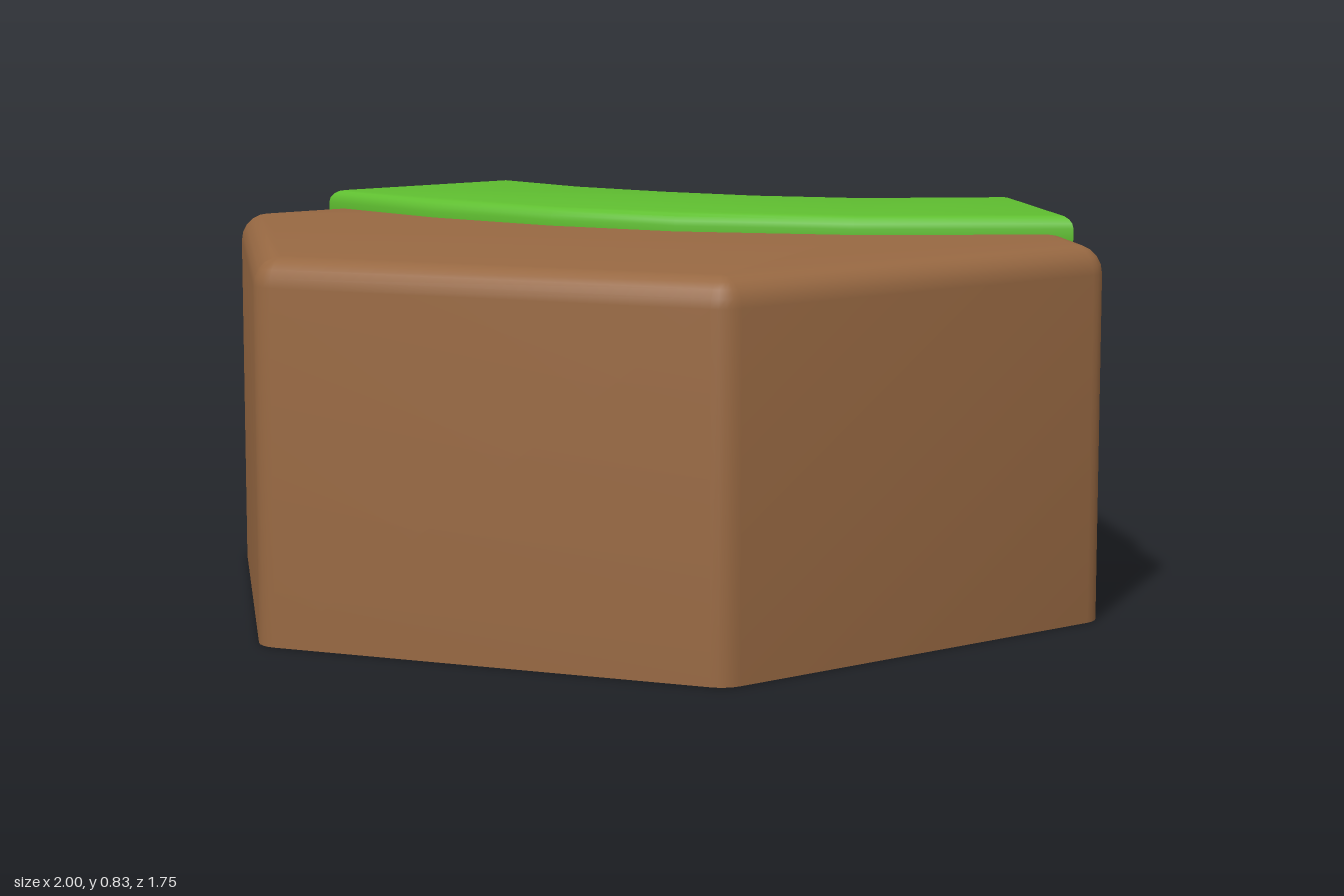
import * as THREE from 'three';
import { toCreasedNormals, mergeVertices } from 'three/addons/utils/BufferGeometryUtils.js';

const earth = new THREE.MeshStandardMaterial({ color: 0x976842 });
earth.name = 'earth brown';
const grass = new THREE.MeshStandardMaterial({ color: 0x5fbe30 });
grass.name = 'grass green';

// Hexagon ring with rounded corners: core hexagon grown outward by `offset`.
function hexRing(coreRadius, offset, y, steps) {
  const ring = [];
  for (let c = 0; c < 6; c++) {
    const a = c * Math.PI / 3;
    for (let s = 0; s <= steps; s++) {
      const t = a + (s / steps - 0.5) * Math.PI / 3;
      ring.push([
        coreRadius * Math.cos(a) + offset * Math.cos(t), y,
        coreRadius * Math.sin(a) + offset * Math.sin(t),
      ]);
    }
  }
  return ring;
}

// Skin stacked rings (bottom to top) and close both ends.
function loft(rings) {
  const n = rings[0].length;
  const pos = rings.flat(2);
  const idx = [];
  for (let r = 0; r < rings.length - 1; r++) {
    for (let i = 0; i < n; i++) {
      const a = r * n + i, b = r * n + (i + 1) % n;
      idx.push(a, a + n, b, b, a + n, b + n);
    }
  }
  const top = (rings.length - 1) * n;
  for (let i = 1; i < n - 1; i++) {
    idx.push(0, i, i + 1);
    idx.push(top, top + i + 1, top + i);
  }
  const g = new THREE.BufferGeometry();
  g.setAttribute('position', new THREE.Float32BufferAttribute(pos, 3));
  g.setIndex(idx);
  return toCreasedNormals(g, 0.6);
}

export function createModel() {
  const model = new THREE.Group();
  model.name = 'hexTile';

  // Hexagonal block: sharp base, rounded top rim and corners
  const bevel = 0.06, height = 0.79, core = 0.94;
  const rings = [hexRing(core, bevel, 0, 4)];
  for (let i = 0; i <= 5; i++) {
    const t = i / 5 * Math.PI / 2;
    rings.push(hexRing(core, Math.max(bevel * Math.cos(t), 0.001), height - bevel + bevel * Math.sin(t), 4));
  }
  const block = new THREE.Mesh(loft(rings), earth);
  block.name = 'hexBlock';
  model.add(block);

  // Curved path outline as x, z: outer edge forward, inner edge back
  const outline = [
    [-0.27, -0.868], [-0.23, -0.5], [-0.14, -0.18], [-0.01, 0.09], [0.24, 0.39], [0.615, 0.67],
    [0.86, 0.235], [0.57, 0.04], [0.43, -0.15], [0.335, -0.36], [0.265, -0.59], [0.24, -0.868],
  ];
  const shape = new THREE.Shape(outline.map(([x, z]) => new THREE.Vector2(x, -z)));
  const slab = new THREE.ExtrudeGeometry(shape, {
    depth: 0.024, bevelEnabled: true, bevelThickness: 0.028,
    bevelSize: 0.028, bevelOffset: -0.028, bevelSegments: 4,
  });
  slab.rotateX(-Math.PI / 2);
  slab.translate(0, 0.778, 0);
  slab.deleteAttribute('normal');
  slab.deleteAttribute('uv');
  const path = new THREE.Mesh(toCreasedNormals(mergeVertices(slab), 0.6), grass);
  path.name = 'curvedPath';
  model.add(path);

  return model;
}
